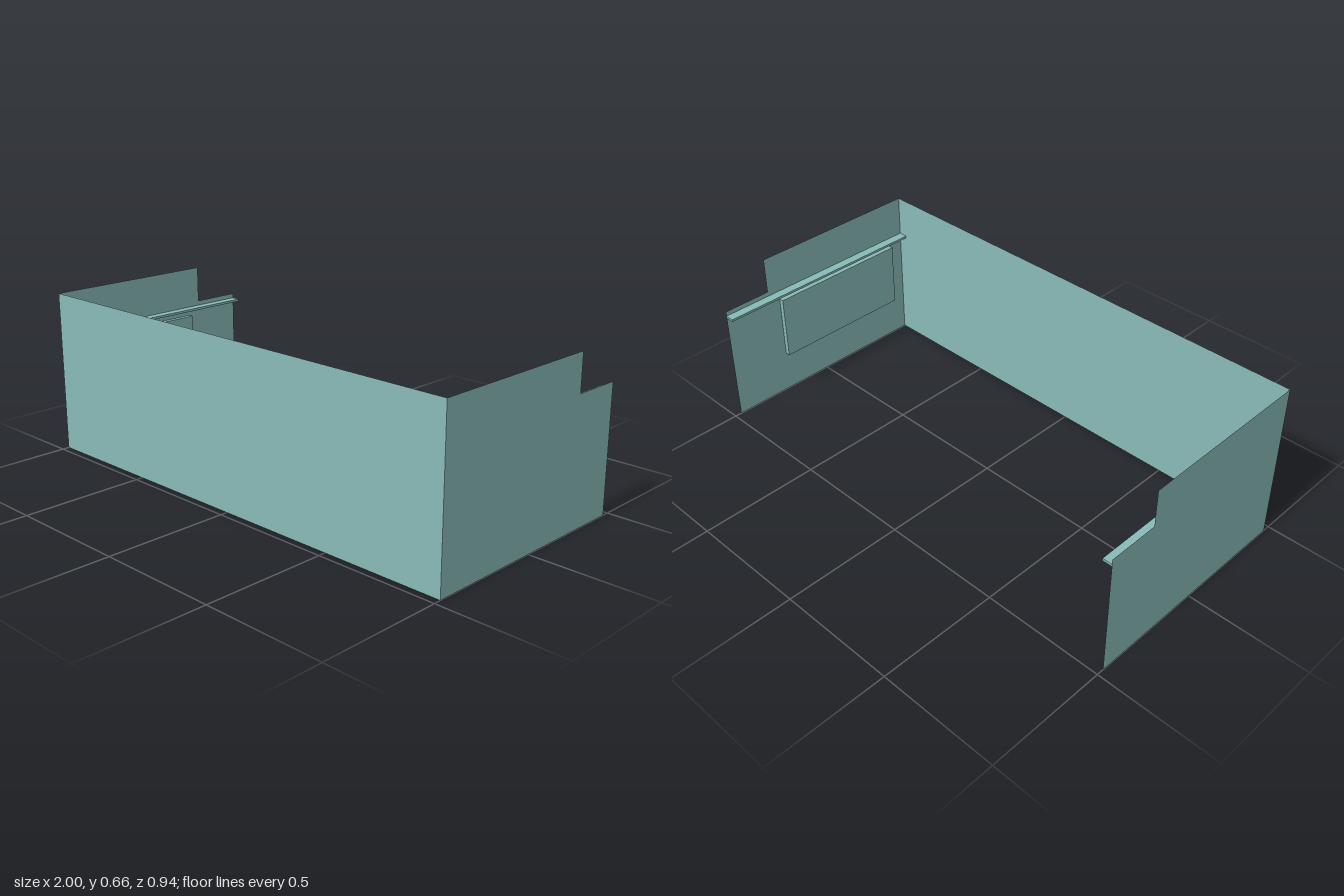
import * as THREE from 'three';

export function createModel() {
  const model = new THREE.Group();
  model.name = 'threeSidedEnclosure';

  const teal = new THREE.MeshStandardMaterial({ color: 0x88bbb8, side: THREE.DoubleSide });
  teal.name = 'soft teal';

  const H = 0.663, backH = 0.511, stepZ = -0.263, D = 0.471;

  const add = (name, geometry, x, y, z) => {
    const mesh = new THREE.Mesh(geometry, teal);
    mesh.name = name;
    mesh.position.set(x, y, z);
    model.add(mesh);
    return mesh;
  };

  // Sheet across the front
  add('frontPanel', new THREE.PlaneGeometry(2, H), 0, H / 2, D);

  // Side outline drawn in (z, y), lower behind the step
  const outline = new THREE.Shape([
    [-D, 0], [D, 0], [D, H], [stepZ, H], [stepZ, backH], [-D, backH],
  ].map(([z, y]) => new THREE.Vector2(-z, y)));

  for (const [side, s] of [['left', 1], ['right', -1]]) {
    // Stepped side sheet
    const panel = new THREE.ShapeGeometry(outline);
    panel.rotateY(Math.PI / 2);
    add(side + 'SidePanel', panel, s, 0, 0);

    // Ledge running the full depth of the inner face
    add(side + 'Ledge', new THREE.BoxGeometry(0.038, 0.01, 2 * D), s * 0.9805, 0.486, 0);

    // Raised rectangular pad below the ledge
    add(side + 'InnerPad', new THREE.BoxGeometry(0.02, 0.275, 0.61), s * 0.9895, 0.316, 0.097);
  }
  return model;
}
